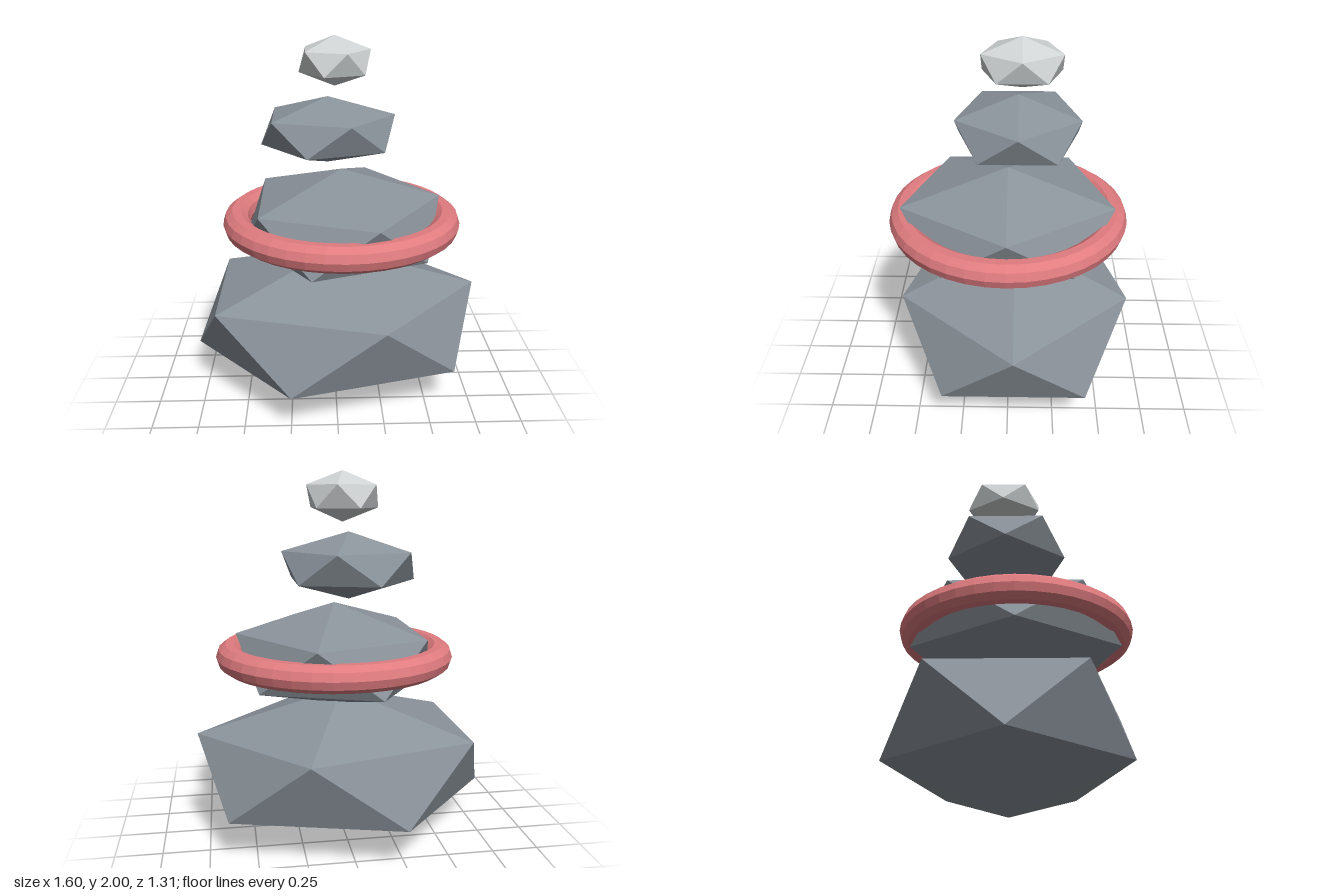
import * as THREE from 'three';

// Twenty-sided stone standing on one point: two staggered five-corner rings between two apexes
function stoneGeometry(rx, h, rz) {
  const ring = (y, turn) => Array.from({ length: 5 }, (_, i) => {
    const a = (i + turn) * Math.PI * 2 / 5;
    return [rx * Math.cos(a), y, rz * Math.sin(a)];
  });
  const ringY = h / Math.sqrt(5);
  const U = ring(ringY, 0), L = ring(-ringY, 0.5);
  const top = [0, h, 0], bottom = [0, -h, 0];
  const points = [];
  for (let i = 0; i < 5; i++) {
    const j = (i + 1) % 5;
    points.push(top, U[j], U[i]);
    points.push(U[i], U[j], L[i]);
    points.push(L[j], L[i], U[j]);
    points.push(bottom, L[i], L[j]);
  }
  const geometry = new THREE.BufferGeometry();
  geometry.setAttribute('position', new THREE.Float32BufferAttribute(points.flat(), 3));
  geometry.computeVertexNormals();
  return geometry;
}

function makeMaterial(name, color) {
  const material = new THREE.MeshStandardMaterial({ color, flatShading: true });
  material.name = name;
  return material;
}

export function createModel() {
  const group = new THREE.Group();
  group.name = 'stackedStones';
  const grey = makeMaterial('stoneGrey', 0x8b939b);
  const pale = makeMaterial('paleStone', 0xd0d4d5);
  const coral = makeMaterial('coralRing', 0xe07c80);

  const add = (name, geometry, material, x, y, z) => {
    const mesh = new THREE.Mesh(geometry, material);
    mesh.name = name;
    mesh.position.set(x, y, z);
    group.add(mesh);
  };

  // Stones from the ground up: ring radius x, half height, ring radius z
  add('baseStone', stoneGeometry(0.8, 0.408, 0.655), grey, 0, 0.412, -0.033);
  add('secondStone', stoneGeometry(0.54, 0.285, 0.597), grey, 0.035, 1.013, 0.005);
  add('thirdStone', stoneGeometry(0.362, 0.18, 0.345), grey, -0.037, 1.504, -0.048);
  add('topStone', stoneGeometry(0.191, 0.132, 0.218), pale, 0, 1.868, -0.067);

  // Ring lying flat around the second stone
  const ring = new THREE.TorusGeometry(0.576, 0.074, 10, 40).rotateX(Math.PI / 2);
  add('ring', ring, coral, 0.035, 1.013, 0.005);

  return group;
}
